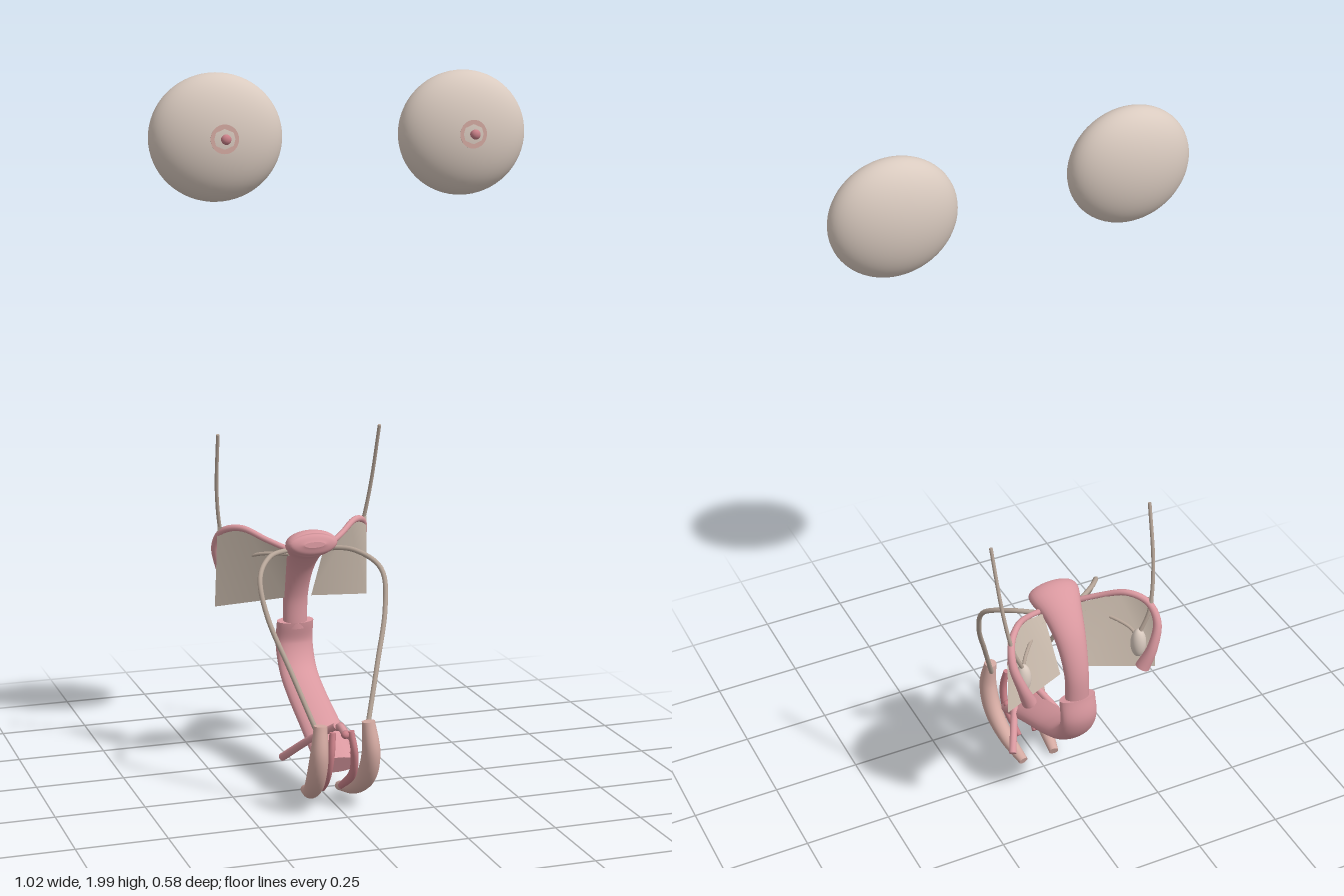
import * as THREE from 'three';

const mat = (name, color, extra = {}) => {
  const m = new THREE.MeshStandardMaterial({ color, ...extra });
  m.name = name;
  return m;
};
const V = (p) => new THREE.Vector3(...p);

// Elliptical tube along a smooth path; radii are [width, depth] at each path point
function loft(points, radii, sides = 20, steps = 40) {
  const path = new THREE.CatmullRomCurve3(points.map(V), false, 'catmullrom');
  const size = new THREE.CatmullRomCurve3(radii.map(([w, h]) => V([w, h, 0])), false, 'catmullrom');
  const pos = [], idx = [];
  const B = V([1, 0, 0]), N = V([0, 0, 0]), p = V([0, 0, 0]);
  for (let i = 0; i <= steps; i++) {
    const t = i / steps, c = path.getPoint(t), T = path.getTangent(t), r = size.getPoint(t);
    B.addScaledVector(T, -B.dot(T)).normalize();
    N.crossVectors(T, B);
    for (let j = 0; j < sides; j++) {
      const a = (j / sides) * Math.PI * 2;
      p.copy(c).addScaledVector(B, Math.cos(a) * r.x).addScaledVector(N, Math.sin(a) * r.y);
      pos.push(p.x, p.y, p.z);
      if (i < steps) {
        const q = i * sides + j, n = i * sides + ((j + 1) % sides);
        idx.push(q, n, q + sides, n, n + sides, q + sides);
      }
    }
  }
  // flat end caps with their own vertices
  for (const end of [0, 1]) {
    const ring = end * steps * sides, base = pos.length / 3;
    for (let j = 0; j < sides; j++) pos.push(...pos.slice((ring + j) * 3, (ring + j) * 3 + 3));
    pos.push(...path.getPoint(end).toArray());
    for (let j = 0; j < sides; j++) {
      const n = (j + 1) % sides;
      idx.push(base + sides, base + (end ? j : n), base + (end ? n : j));
    }
  }
  const g = new THREE.BufferGeometry();
  g.setAttribute('position', new THREE.Float32BufferAttribute(pos, 3));
  g.setIndex(idx);
  g.computeVertexNormals();
  return g;
}

const tube = (points, r, r2 = r) =>
  loft(points, points.map((_, i) => {
    const v = r + ((r2 - r) * i) / (points.length - 1);
    return [v, v];
  }), 12, 36);

export function createModel() {
  const model = new THREE.Group();
  const rose = mat('rose', 0xd9989f);
  const deepRose = mat('deep rose', 0xc98088);
  const blush = mat('blush', 0xd4aaa2);
  const cream = mat('cream', 0xd9cabf);
  const ligament = mat('ligament tan', 0xb5a497);
  const sheet = mat('sheet tan', 0xcbbcae, { side: THREE.DoubleSide });

  const add = (parent, name, geometry, material, at = [0, 0, 0], scale = [1, 1, 1]) => {
    const m = new THREE.Mesh(geometry, material);
    m.name = name;
    m.position.set(...at);
    m.scale.set(...scale);
    parent.add(m);
    return m;
  };
  const ball = new THREE.SphereGeometry(1, 36, 24);

  // Central organs
  add(model, 'uterus', loft(
    [[0, 0.42, -0.212], [0, 0.52, -0.207], [0, 0.61, -0.172], [0, 0.67, -0.12], [0, 0.697, -0.07], [0, 0.7, -0.042], [0, 0.701, -0.031]],
    [[0.035, 0.025], [0.036, 0.026], [0.044, 0.03], [0.057, 0.034], [0.073, 0.038], [0.066, 0.029], [0.03, 0.008]],
    28, 60), rose);
  add(model, 'vaginalCanal', loft(
    [[0, 0.44, -0.212], [0, 0.37, -0.222], [0, 0.3, -0.185], [0, 0.25, -0.105], [0, 0.19, 0.035], [0, 0.13, 0.165]],
    [[0.054, 0.026], [0.055, 0.027], [0.055, 0.027], [0.056, 0.027], [0.058, 0.027], [0.06, 0.027]],
    28, 60), rose);
  add(model, 'clitoralBody', tube([[0, 0.235, 0.16], [0, 0.245, 0.19], [0, 0.238, 0.225]], 0.01), rose);
  add(model, 'clitoralGlans', ball, deepRose, [0, 0.235, 0.227], [0.011, 0.011, 0.011]);

  // Paired parts, mirrored by the sign of x
  for (const s of [1, -1]) {
    const side = new THREE.Group();
    side.name = s > 0 ? 'leftSide' : 'rightSide';
    model.add(side);
    const M = (pts) => pts.map(([x, y, z]) => [s * x, y, z]);

    add(side, 'fallopianTube', loft(
      M([[0.05, 0.675, -0.09], [0.11, 0.702, -0.13], [0.165, 0.727, -0.18], [0.208, 0.712, -0.228], [0.22, 0.66, -0.263], [0.2, 0.59, -0.276], [0.175, 0.525, -0.268]]),
      [0.008, 0.008, 0.009, 0.01, 0.012, 0.015, 0.021].map((r) => [r, r]), 16, 50), rose);
    add(side, 'ovary', ball, cream, [s * 0.177, 0.587, -0.236], [0.022, 0.046, 0.022]);
    add(side, 'ovarianLigament', tube(
      M([[0.05, 0.66, -0.11], [0.11, 0.655, -0.16], [0.155, 0.635, -0.205], [0.175, 0.61, -0.23]]), 0.005), ligament);
    add(side, 'suspensoryLigament', tube(
      M([[0.178, 0.62, -0.238], [0.21, 0.7, -0.237], [0.229, 0.83, -0.213], [0.237, 1, -0.168]]), 0.006, 0.005), ligament);
    add(side, 'roundLigament', tube(
      M([[0.05, 0.675, -0.105], [0.125, 0.672, -0.05], [0.176, 0.63, 0.025], [0.168, 0.53, 0.075], [0.125, 0.4, 0.135], [0.075, 0.25, 0.2]]), 0.007), ligament);

    // Broad ligament: thin four-cornered sheet
    const [a, b, c, d] = M([[0.04, 0.515, -0.187], [0.228, 0.49, -0.245], [0.222, 0.725, -0.232], [0.055, 0.68, -0.11]]);
    const e = M([[0.15, 0.718, -0.165]])[0];
    const g = new THREE.BufferGeometry();
    g.setAttribute('position', new THREE.Float32BufferAttribute([...a, ...b, ...c, ...e, ...d], 3));
    g.setIndex(s > 0 ? [0, 1, 3, 1, 2, 3, 0, 3, 4] : [0, 3, 1, 1, 3, 2, 0, 4, 3]);
    g.computeVertexNormals();
    add(side, 'broadLigament', g, sheet);

    // Outer and inner folds
    add(side, 'outerLabium', loft(
      M([[0.068, 0.265, 0.222], [0.074, 0.18, 0.228], [0.073, 0.105, 0.195], [0.063, 0.05, 0.125], [0.05, 0.022, 0.035]]),
      [[0.018, 0.018], [0.025, 0.029], [0.026, 0.03], [0.022, 0.022], [0.014, 0.013]], 20, 40), blush);
    add(side, 'innerLabium', loft(
      M([[0.026, 0.235, 0.2], [0.034, 0.17, 0.207], [0.036, 0.105, 0.182], [0.026, 0.05, 0.115]]),
      [[0.009, 0.009], [0.01, 0.014], [0.01, 0.014], [0.008, 0.009]], 14, 30), deepRose);
    add(side, 'clitoralCrus', tube(
      M([[0.006, 0.243, 0.17], [0.055, 0.182, 0.085], [0.105, 0.107, -0.008]]), 0.01, 0.011), rose);
    add(side, 'vestibularGland', ball, deepRose, [s * 0.046, 0.15, 0.155], [0.011, 0.011, 0.011]);

    // Breast with areola ring and nipple
    const breast = new THREE.Group();
    breast.name = 'breast';
    breast.position.set(s * 0.335, 1.837, 0.18);
    side.add(breast);
    add(breast, 'breastBody', new THREE.SphereGeometry(1, 48, 32), cream, [0, 0, 0], [0.175, 0.163, 0.087]);
    add(breast, 'areola', new THREE.CylinderGeometry(0.037, 0.037, 0.006, 32).rotateX(Math.PI / 2), blush, [0, 0, 0.0828]);
    add(breast, 'nipple', new THREE.CylinderGeometry(0.009, 0.011, 0.016, 20).rotateX(Math.PI / 2), deepRose, [0, 0, 0.09]);
    add(breast, 'nippleTip', ball, deepRose, [0, 0, 0.099], [0.013, 0.013, 0.01]);
  }
  return model;
}
